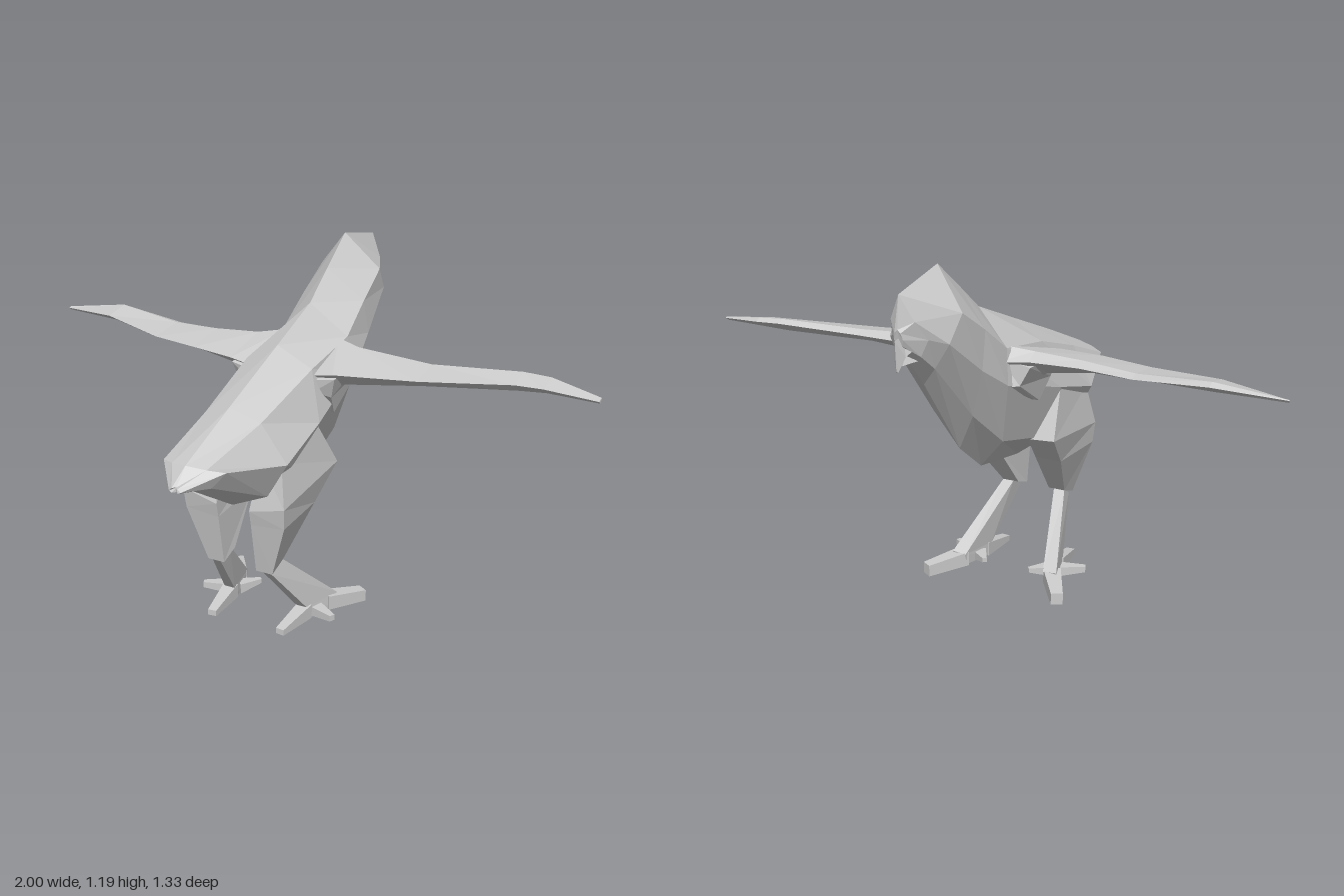
import * as THREE from 'three';

const material = new THREE.MeshStandardMaterial({ color: 0xcccccc, flatShading: true });

// Joins equal-length rings of [x, y, z] points into a closed, flat-shaded solid.
function loft(name, rings) {
  const n = rings[0].length;
  const tris = [];
  for (let r = 0; r < rings.length - 1; r++) {
    for (let i = 0; i < n; i++) {
      const j = (i + 1) % n;
      const a = rings[r][i], b = rings[r][j], c = rings[r + 1][j], d = rings[r + 1][i];
      tris.push([a, b, c], [a, c, d]);
    }
  }
  const last = rings[rings.length - 1];
  for (let i = 1; i < n - 1; i++) {
    tris.push([rings[0][0], rings[0][i + 1], rings[0][i]], [last[0], last[i], last[i + 1]]);
  }
  // A negative volume means the faces point inwards, so turn them round
  const v = (p) => new THREE.Vector3(...p);
  const volume = tris.reduce((s, [a, b, c]) => s + v(a).dot(v(b).cross(v(c))), 0);
  if (volume < 0) tris.forEach((t) => t.reverse());
  const geometry = new THREE.BufferGeometry();
  geometry.setAttribute('position', new THREE.Float32BufferAttribute(tris.flat(2), 3));
  geometry.computeVertexNormals();
  const mesh = new THREE.Mesh(geometry, material);
  mesh.name = name;
  return mesh;
}

const mirror = (rings, side) => rings.map((ring) => ring.map(([x, y, z]) => [x * side, y, z]));

// Completes a half section (ridge to keel) with its mirror image
const wholeRing = (half) => [...half, ...half.slice(1, -1).reverse().map(([x, y, z]) => [-x, y, z])];

// Tapered four-sided bar between two points; each end has a width and height
function bar(name, p, q, [w0, h0], [w1, h1], side) {
  const dx = q[0] - p[0], dz = q[2] - p[2], len = Math.hypot(dx, dz);
  const ring = ([x, y, z], w, h) => [[-1, -1], [1, -1], [1, 1], [-1, 1]].map(([a, b]) =>
    [x - a * w * dz / len / 2, y + b * h / 2, z + a * w * dx / len / 2]);
  return loft(name, mirror([ring(p, w0, h0), ring(q, w1, h1)], side));
}

// Wing from stations of [x, leading z, trailing z, top y, bottom y]
function wing(name, stations) {
  return loft(name, stations.map(([x, lead, trail, top, bottom]) => {
    const mid = (top + bottom) / 2, t = top - bottom;
    return [
      [x, mid + t * 0.25, lead],
      [x, top, lead + (trail - lead) * 0.2],
      [x, mid + t * 0.1, trail],
      [x, bottom, lead + (trail - lead) * 0.6],
    ];
  }));
}

function createLeg(side) {
  const leg = new THREE.Group();
  leg.name = side > 0 ? 'leftLeg' : 'rightLeg';
  // Thigh, from the hip down to the ankle joint
  leg.add(loft('thigh', mirror([
    [[0.08, 0.64, 0.30], [0.16, 0.64, 0.31], [0.165, 0.70, 0.09], [0.08, 0.68, 0.08]],
    [[0.06, 0.47, 0.34], [0.185, 0.50, 0.34], [0.19, 0.54, -0.01], [0.09, 0.53, 0.0]],
    [[0.06, 0.42, 0.33], [0.18, 0.43, 0.33], [0.165, 0.43, 0.10], [0.07, 0.43, 0.10]],
    [[0.06, 0.245, 0.30], [0.12, 0.245, 0.30], [0.12, 0.27, 0.23], [0.06, 0.27, 0.23]],
  ], side)));
  // Shank, slanting forward to the foot
  leg.add(loft('shank', mirror([
    [[0.08, 0.24, 0.29], [0.11, 0.24, 0.29], [0.12, 0.27, 0.23], [0.08, 0.27, 0.23]],
    [[0.12, 0.06, 0.14], [0.16, 0.06, 0.14], [0.20, 0.065, 0.0], [0.15, 0.06, 0.0]],
    [[0.12, 0.015, 0.14], [0.16, 0.015, 0.14], [0.20, 0.02, 0.01], [0.15, 0.02, 0.01]],
  ], side)));
  // Toes
  leg.add(bar('frontToe', [0.17, 0.04, 0.03], [0.25, 0.025, -0.1], [0.06, 0.05], [0.04, 0.04], side));
  leg.add(bar('backToe', [0.145, 0.04, 0.12], [0.13, 0.025, 0.27], [0.05, 0.05], [0.03, 0.02], side));
  leg.add(bar('innerToe', [0.14, 0.035, 0.08], [0.085, 0.045, 0.02], [0.05, 0.035], [0.015, 0.015], side));
  leg.add(bar('outerToe', [0.16, 0.035, 0.09], [0.25, 0.04, 0.13], [0.05, 0.035], [0.02, 0.02], side));
  return leg;
}

export function createModel() {
  const bird = new THREE.Group();
  bird.name = 'bird';

  // Body from tail to face; each section runs ridge, shoulder, flank, belly, keel
  bird.add(loft('body', [
    [[0, 0.66, 0.65], [0.01, 0.66, 0.66], [0.02, 0.65, 0.66], [0.01, 0.645, 0.66], [0, 0.645, 0.65]],
    [[0, 0.71, 0.60], [0.06, 0.70, 0.58], [0.11, 0.69, 0.55], [0.07, 0.64, 0.57], [0, 0.63, 0.59]],
    [[0, 0.81, 0.35], [0.10, 0.77, 0.33], [0.18, 0.64, 0.31], [0.12, 0.53, 0.33], [0, 0.48, 0.34]],
    [[0, 0.925, 0.05], [0.12, 0.86, 0.04], [0.17, 0.70, 0.08], [0.12, 0.52, 0.08], [0, 0.43, 0.10]],
    [[0, 1.01, -0.17], [0.12, 0.90, -0.21], [0.14, 0.79, -0.24], [0.09, 0.58, -0.18], [0, 0.475, -0.16]],
    [[0, 1.10, -0.29], [0.115, 0.99, -0.34], [0.12, 0.87, -0.37], [0.07, 0.71, -0.34], [0, 0.58, -0.30]],
    [[0, 1.195, -0.42], [0.11, 1.07, -0.47], [0.10, 0.99, -0.53], [0.05, 0.91, -0.53], [0, 0.85, -0.51]],
    [[0, 1.15, -0.64], [0.04, 1.07, -0.62], [0.06, 1.01, -0.58], [0.04, 0.96, -0.59], [0, 0.94, -0.59]],
    [[0, 1.05, -0.65], [0.01, 1.04, -0.65], [0.015, 1.02, -0.645], [0.01, 1.0, -0.64], [0, 0.98, -0.635]],
  ].map(wholeRing)));

  // Small hooked beak: upper and lower spikes
  const beak = new THREE.Group();
  beak.name = 'beak';
  beak.add(loft('upperBeak', [
    [[-0.03, 0.99, -0.59], [0.03, 0.99, -0.59], [0, 1.03, -0.62]],
    [[-0.02, 0.97, -0.64], [0.02, 0.97, -0.64], [0, 1.02, -0.665]],
    [[-0.003, 0.925, -0.655], [0.003, 0.925, -0.655], [0, 0.93, -0.66]],
  ]));
  beak.add(loft('lowerBeak', [
    [[-0.03, 0.945, -0.57], [0.03, 0.945, -0.57], [0, 0.98, -0.6]],
    [[-0.005, 0.94, -0.635], [0.005, 0.94, -0.635], [0, 0.96, -0.64]],
  ]));
  bird.add(beak);

  // Outstretched wings, slightly different in pose
  bird.add(wing('leftWing', [
    [0.10, -0.24, 0.04, 0.90, 0.74],
    [0.19, -0.20, 0.035, 0.89, 0.79],
    [0.45, -0.18, -0.03, 0.875, 0.82],
    [0.74, -0.215, -0.115, 0.885, 0.835],
    [0.83, -0.22, -0.125, 0.88, 0.84],
    [1.0, -0.17, -0.14, 0.855, 0.84],
  ]));
  bird.add(wing('rightWing', [
    [-0.10, -0.24, 0.04, 0.90, 0.74],
    [-0.19, -0.20, 0.03, 0.885, 0.79],
    [-0.35, -0.185, 0.005, 0.875, 0.815],
    [-0.53, -0.20, -0.035, 0.865, 0.825],
    [-0.78, -0.225, -0.11, 0.885, 0.84],
    [-1.0, -0.175, -0.165, 0.855, 0.845],
  ]));

  // Wing roots tapering down into the flanks
  for (const side of [1, -1]) {
    bird.add(loft('wingRoot', mirror([
      [[0.10, 0.87, -0.22], [0.19, 0.84, -0.19], [0.19, 0.83, 0.02], [0.10, 0.82, 0.04]],
      [[0.12, 0.78, -0.24], [0.16, 0.78, -0.2], [0.17, 0.76, 0.0], [0.12, 0.78, 0.03]],
      [[0.12, 0.70, -0.08], [0.15, 0.70, -0.08], [0.155, 0.69, -0.05], [0.12, 0.69, -0.05]],
    ], side)));
    bird.add(createLeg(side));
  }
  return bird;
}
